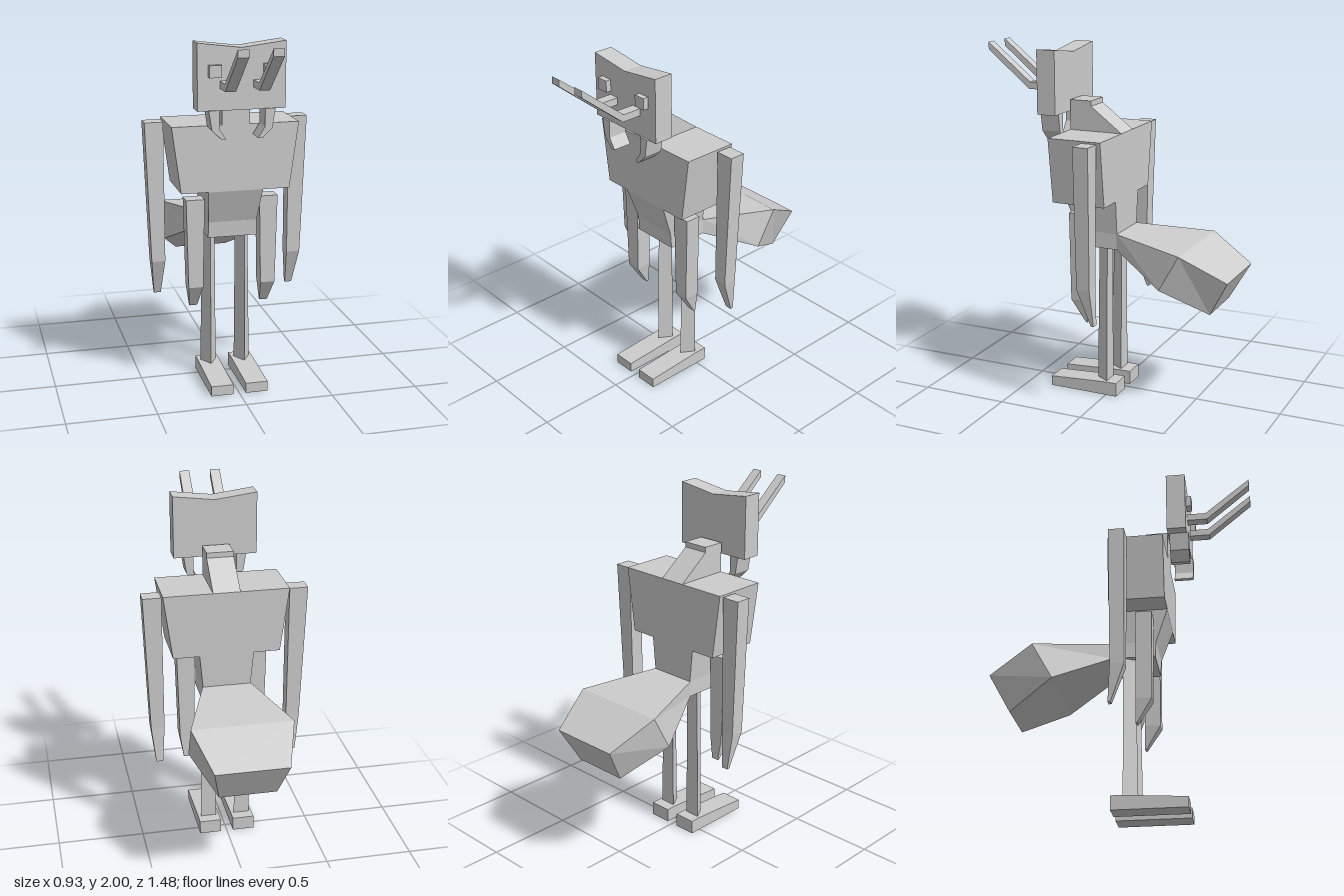
import * as THREE from 'three';

const grey = new THREE.MeshStandardMaterial({ color: 0xcccccc, flatShading: true });
grey.name = 'plain grey';

// Closed faceted solid through rings of [x, y, z] corners, turned outwards by its signed volume.
function loft(name, rings) {
  const n = rings[0].length, tris = [];
  for (let r = 0; r < rings.length - 1; r++) {
    for (let i = 0; i < n; i++) {
      const j = (i + 1) % n;
      const a = rings[r][i], b = rings[r][j], c = rings[r + 1][j], d = rings[r + 1][i];
      tris.push([a, b, c], [a, c, d]);
    }
  }
  const first = rings[0], last = rings[rings.length - 1];
  for (let i = 1; i < n - 1; i++) {
    tris.push([first[0], first[i + 1], first[i]], [last[0], last[i], last[i + 1]]);
  }
  const v = (p) => new THREE.Vector3(...p);
  const centre = v(first[0]);
  let volume = 0;
  for (const [a, b, c] of tris) {
    volume += v(a).sub(centre).dot(v(b).sub(centre).cross(v(c).sub(centre)));
  }
  if (volume < 0) tris.forEach((t) => t.reverse());
  const geometry = new THREE.BufferGeometry();
  geometry.setAttribute('position', new THREE.Float32BufferAttribute(tris.flat(2), 3));
  geometry.computeVertexNormals();
  const mesh = new THREE.Mesh(geometry, grey);
  mesh.name = name;
  return mesh;
}

// Horizontal rectangle at height y.
const level = (y, x0, x1, z0, z1) => [[x0, y, z0], [x1, y, z0], [x1, y, z1], [x0, y, z1]];

// Side outline of [z, y] corners placed at x.
const side = (x, outline) => outline.map(([z, y]) => [x, y, z]);

// Line across the body between two [z, y] edges, with their half widths.
const span = (zTop, yTop, wTop, zLow, yLow, wLow) => [
  [-wTop, yTop, zTop], [wTop, yTop, zTop], [wLow, yLow, zLow], [-wLow, yLow, zLow],
];

export function createModel() {
  const model = new THREE.Group();
  model.name = 'insectCreature';

  // Chest, waist and neck
  model.add(loft('chest', [
    level(1.53, -0.355, 0.355, -0.06, 0.253),
    level(1.16, -0.305, 0.305, -0.06, 0.253),
  ]));
  model.add(loft('waist', [
    level(1.16, -0.155, 0.155, -0.06, 0.253),
    level(0.97, -0.137, 0.137, -0.06, 0.185),
    level(0.88, -0.14, 0.14, -0.06, 0.18),
  ]));
  const neck = [[0.253, 1.53], [0.253, 1.7], [0.125, 1.7], [0.125, 1.67], [-0.06, 1.53]];
  model.add(loft('neck', [side(-0.077, neck), side(0.077, neck)]));

  // Abdomen trailing behind
  model.add(loft('abdomen', [
    span(-0.06, 0.97, 0.14, -0.06, 0.88, 0.14),
    span(-0.487, 0.932, 0.285, -0.372, 0.725, 0.28),
    span(-0.74, 0.79, 0.205, -0.628, 0.585, 0.16),
  ]));

  // Head plate with a shallow notch along the top
  model.add(loft('head', [[-0.24, 1.99], [0, 1.96], [0.24, 1.99]].map(([x, top]) =>
    side(x, [[0.265, 1.632], [0.375, 1.632], [0.375, top], [0.265, top]]))));

  for (const s of [1, -1]) {
    const label = s > 0 ? 'left' : 'right';
    const half = new THREE.Group();
    half.name = label + 'Parts';
    model.add(half);
    const lev = (y, x0, x1, z0, z1) => level(y, s * x0, s * x1, z0, z1);

    // Eye and feeler
    half.add(loft(label + 'Eye', [
      lev(1.81, 0.115, 0.182, 0.37, 0.405), lev(1.875, 0.115, 0.182, 0.37, 0.405),
    ]));
    half.add(loft(label + 'Antenna', [
      [0.37, 1.75, 0.37, 1.79], [0.49, 1.75, 0.483, 1.79], [0.743, 1.96, 0.743, 2.0],
    ].map(([zl, yl, zt, yt]) => [
      [s * 0.062, yl, zl], [s * 0.12, yl, zl], [s * 0.12, yt, zt], [s * 0.062, yt, zt],
    ])));

    // Hooked mandible
    half.add(loft(label + 'Mandible', [
      [0.182, 1.635, 0.125, 1.635], [0.165, 1.53, 0.125, 1.537], [0.113, 1.478, 0.087, 1.478],
    ].map(([xo, yo, xi, yi]) => [
      [s * xo, yo, 0.275], [s * xo, yo, 0.385], [s * xi, yi, 0.385], [s * xi, yi, 0.275],
    ])));

    // Long upper arm and shorter lower arm, both pointed
    half.add(loft(label + 'UpperArm', [
      lev(1.52, 0.36, 0.465, -0.04, 0.05),
      lev(0.72, 0.358, 0.435, -0.03, 0.048),
      lev(0.51, 0.373, 0.412, -0.043, -0.027),
    ]));
    half.add(loft(label + 'LowerArm', [
      lev(1.1, 0.157, 0.262, 0.085, 0.175),
      lev(0.59, 0.167, 0.25, 0.083, 0.172),
      lev(0.457, 0.185, 0.23, 0.08, 0.09),
    ]));

    // Three-sided leg with its ridge to the front
    half.add(loft(label + 'Leg', [
      [0.88, 0.06, 0.135, 0.065], [0.08, 0.055, 0.147, 0.077],
    ].map(([y, xi, xo, z]) => [[s * xi, y, 0], [s * xo, y, 0], [s * 0.1, y, z]])));

    // Foot, lower towards the toe
    const foot = [[-0.065, 0], [0.35, 0], [0.35, 0.058], [0, 0.08], [-0.065, 0.08]];
    half.add(loft(label + 'Foot', [side(s * 0.037, foot), side(s * 0.163, foot)]));
  }
  return model;
}
